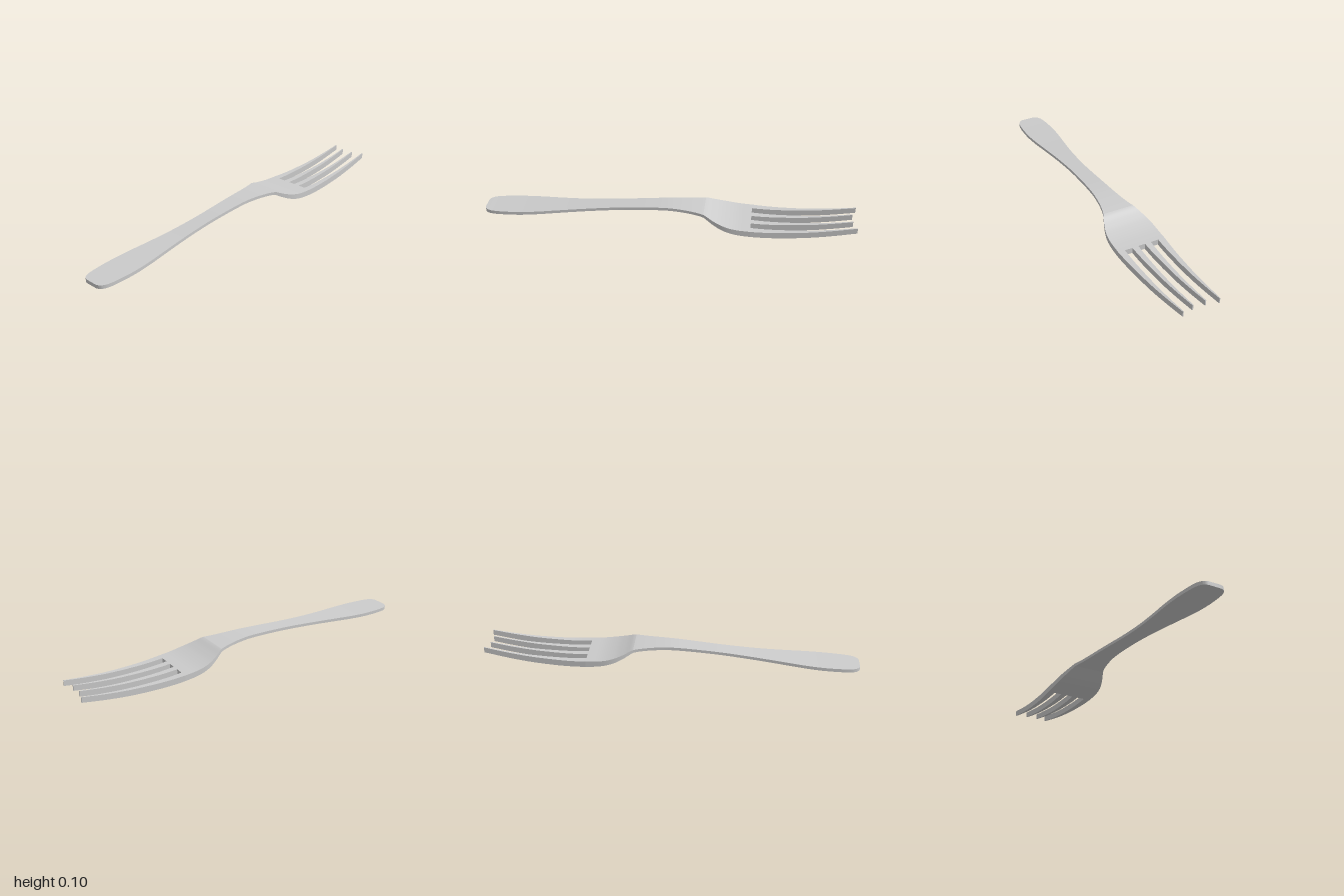
import * as THREE from 'three';
import { toCreasedNormals } from 'three/addons/utils/BufferGeometryUtils.js';

// Smooth lookup through [z, value] pairs listed from front (+z) to back (-z)
function smoothCurve(pts) {
  const last = pts.length - 1;
  const slope = (i) => {
    const a = pts[Math.max(i - 1, 0)], b = pts[Math.min(i + 1, last)];
    return (b[1] - a[1]) / (b[0] - a[0]);
  };
  return (z) => {
    let i = 0;
    while (i < last - 1 && z < pts[i + 1][0]) i++;
    const [z0, v0] = pts[i], [z1, v1] = pts[i + 1];
    const h = z1 - z0, t = (z - z0) / h, u = 1 - t;
    return v0 * (1 + 2 * t) * u * u + h * slope(i) * t * u * u
      + v1 * t * t * (3 - 2 * t) + h * slope(i + 1) * t * t * (t - 1);
  };
}

// Side profile: underside height and metal thickness
const bottomY = smoothCurve([
  [1, 0], [0.9, 0.005], [0.75, 0.015], [0.5, 0.037], [0.25, 0.062], [0.1, 0.076],
  [0, 0.083], [-0.08, 0.084], [-0.15, 0.082], [-0.195, 0.079], [-0.205, 0.076],
  [-0.25, 0.052], [-0.3, 0.031], [-0.37, 0.014], [-0.45, 0.007], [-0.53, 0.004],
  [-0.62, 0.006], [-0.75, 0.015], [-0.87, 0.031], [-1, 0.054],
]);
const thickness = smoothCurve([
  [1, 0.019], [0.5, 0.016], [0, 0.016], [-0.195, 0.016], [-0.205, 0.018],
  [-0.3, 0.027], [-0.45, 0.032], [-0.7, 0.033], [-1, 0.03],
]);

// Outline seen from above
const halfWidth = smoothCurve([
  [1, 0.035], [0.994, 0.05], [0.98, 0.063], [0.955, 0.073], [0.9, 0.08], [0.8, 0.083],
  [0.7, 0.077], [0.6, 0.066], [0.45, 0.052], [0.3, 0.045], [0.2, 0.045], [0, 0.052],
  [-0.1, 0.063], [-0.17, 0.077], [-0.2, 0.087], [-0.25, 0.108], [-0.3, 0.124],
  [-0.35, 0.131], [-0.45, 0.132],
]);

// Loft a rectangular section along -z between left(z) and right(z)
function loft(zs, left, right, capStart, capEnd) {
  const pos = [], index = [];
  for (const z of zs) {
    const b = bottomY(z), t = b + thickness(z), l = left(z), r = right(z);
    pos.push(l, t, z, r, t, z, r, b, z, l, b, z);
  }
  for (let i = 0; i < zs.length - 1; i++) {
    for (let j = 0; j < 4; j++) {
      const a = i * 4 + j, b = i * 4 + (j + 1) % 4;
      index.push(a, b, b + 4, a, b + 4, a + 4);
    }
  }
  const e = (zs.length - 1) * 4;
  if (capStart) index.push(0, 3, 2, 0, 2, 1);
  if (capEnd) index.push(e, e + 1, e + 2, e, e + 2, e + 3);
  const geo = new THREE.BufferGeometry();
  geo.setAttribute('position', new THREE.Float32BufferAttribute(pos, 3));
  geo.setIndex(index);
  return toCreasedNormals(geo, 0.5);
}

const range = (from, to, n) =>
  Array.from({ length: n + 1 }, (_, i) => from + (to - from) * i / n);

export function createModel() {
  const group = new THREE.Group();
  const material = new THREE.MeshStandardMaterial({ color: 0xcccccc });
  const add = (name, geo) => {
    const mesh = new THREE.Mesh(geo, material);
    mesh.name = name;
    group.add(mesh);
  };
  const neg = (z) => -halfWidth(z);

  // Handle with a rounded end, then the dished head behind a crease
  const handleZ = [...range(1, 0.95, 16), ...range(0.95, -0.2, 60).slice(1)];
  add('handle', loft(handleZ, neg, halfWidth, true, false));
  add('head', loft(range(-0.2, -0.45, 24), neg, halfWidth, false, true));

  // Tapering tines: [inner base, outer base, inner tip, outer tip, tip z]
  const tines = { outerTine: [0.095, 0.132, 0.095, 0.1, -1], innerTine: [0.019, 0.053, 0.031, 0.037, -0.98] };
  for (const [name, [ib, ob, it, ot, end]] of Object.entries(tines)) {
    const edge = (base, tip, s) => (z) => s * THREE.MathUtils.mapLinear(z, -0.45, end, base, tip);
    const zs = range(-0.45, end, 24);
    add(name + 'Left', loft(zs, edge(ib, it, 1), edge(ob, ot, 1), false, true));
    add(name + 'Right', loft(zs, edge(ob, ot, -1), edge(ib, it, -1), false, true));
  }
  return group;
}
